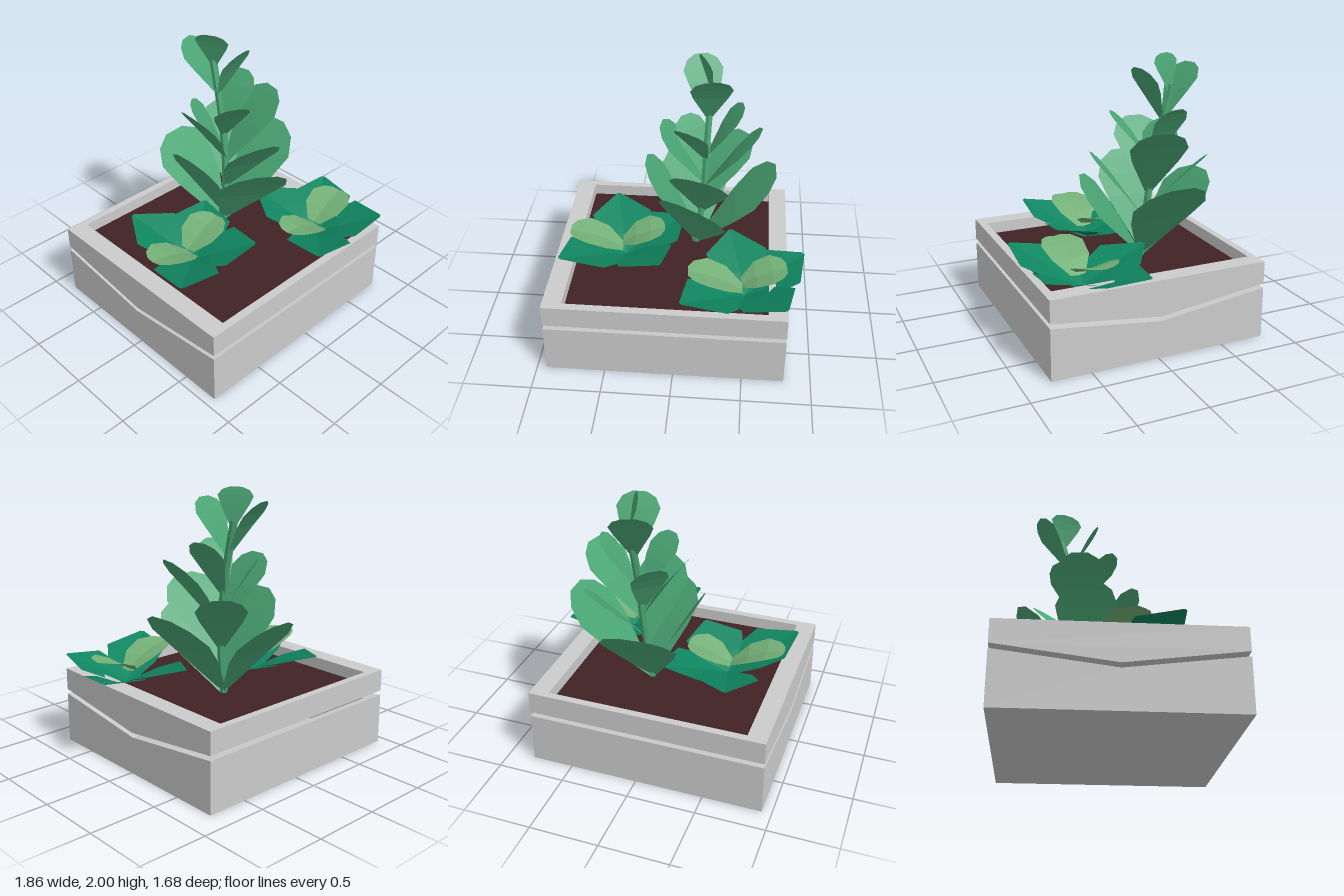
import * as THREE from 'three';

const mat = (color) => new THREE.MeshStandardMaterial({ color, flatShading: true, side: THREE.DoubleSide });
const GREY = mat(0xcccccc), SOIL = mat(0x402224);
const TALL = mat(0x4aa574), DARK = mat(0x0f8560), LIGHT = mat(0x74b078);

// Half-width along a leaf: [t, fraction of full half-width]
const ROUND = [[0, 0.1], [0.5, 0.82], [0.72, 1], [0.9, 0.76], [1, 0.32]];
const POINTED = [[0, 0.2], [0.3, 0.8], [0.6, 1], [1, 0.06]];
const CUP = [[0, 0.35], [0.3, 0.9], [0.65, 1], [0.9, 0.7], [1, 0.35]];

// Thin leaf from base to tip: arched, folded along its midline, rolled about its length
function leaf(name, base, tip, width, profile, material, arch, fold = 0, roll = 0) {
  const a = new THREE.Vector3(...base), b = new THREE.Vector3(...tip);
  const mid = a.clone().lerp(b, 0.5);
  mid.y += arch;
  const curve = new THREE.QuadraticBezierCurve3(a, mid, b);
  const dir = b.clone().sub(a).normalize();
  const side = new THREE.Vector3(0, 1, 0).cross(dir).normalize().applyAxisAngle(dir, roll);
  const normal = dir.clone().cross(side);
  const pos = [], index = [];
  profile.forEach(([t, w], i) => {
    const p = curve.getPoint(t), h = w * width / 2;
    for (const s of [-1, 0, 1]) {
      const q = p.clone().addScaledVector(side, s * h);
      if (s === 0) q.addScaledVector(normal, -fold * h);
      pos.push(q.x, q.y, q.z);
    }
    if (i === 0) return;
    for (const k of [0, 1]) {
      const c = (i - 1) * 3 + k, d = c + 3;
      index.push(c, c + 1, d + 1, c, d + 1, d);
    }
  });
  const g = new THREE.BufferGeometry();
  g.setAttribute('position', new THREE.Float32BufferAttribute(pos, 3));
  g.setIndex(index);
  const flat = g.toNonIndexed();
  flat.computeVertexNormals();
  const mesh = new THREE.Mesh(flat, material);
  mesh.name = name;
  return mesh;
}

// Slab with a (z, y) outline, running from x0 to x1
function slab(name, outline, x0, x1) {
  const shape = new THREE.Shape(outline.map(([z, y]) => new THREE.Vector2(z, y)));
  const g = new THREE.ExtrudeGeometry(shape, { depth: x1 - x0, bevelEnabled: false });
  g.rotateY(-Math.PI / 2).translate(x1, 0, 0);
  const mesh = new THREE.Mesh(g, GREY);
  mesh.name = name;
  return mesh;
}

function box(name, x0, x1, y0, y1, z0, z1, material) {
  const mesh = new THREE.Mesh(new THREE.BoxGeometry(x1 - x0, y1 - y0, z1 - z0), material);
  mesh.position.set((x0 + x1) / 2, (y0 + y1) / 2, (z0 + z1) / 2);
  mesh.name = name;
  return mesh;
}

// Planter: hollow lower box and upper rim, parted by a V-shaped gap
function planter() {
  const g = new THREE.Group();
  g.name = 'planter';
  const X0 = -0.93, X1 = 0.805, Z0 = -0.835, Z1 = 0.79, ZM = -0.02;
  const IX0 = -0.79, IX1 = 0.67, IZ0 = -0.78, IZ1 = 0.73;
  const vee = (low, high) => (z) => low + (high - low) * Math.abs(z - ZM) / 0.815;
  const tiers = [
    ['lowerBox', 0, vee(0.278, 0.38)],
    ['upperRim', 0.58, vee(0.312, 0.415)],
  ];
  for (const [name, flatY, v] of tiers) {
    const band = (za, zb, xa, xb, part) => {
      const cut = za < ZM && zb > ZM ? [zb, ZM, za] : [zb, za];
      g.add(slab(name + part, [[za, flatY], [zb, flatY], ...cut.map((z) => [z, v(z)])], xa, xb));
    };
    band(Z0, Z1, X0, IX0, 'RightWall');
    band(Z0, Z1, IX1, X1, 'LeftWall');
    band(Z0, IZ0, IX0, IX1, 'BackWall');
    band(IZ1, Z1, IX0, IX1, 'FrontWall');
  }
  g.add(box('floor', IX0, IX1, 0, 0.05, IZ0, IZ1, GREY));
  g.add(box('soil', IX0, IX1, 0.44, 0.49, IZ0, IZ1, SOIL));
  return g;
}

// Tall plant: leaning stem with leaves that shrink toward the top
function tallPlant() {
  const g = new THREE.Group();
  g.name = 'tallPlant';
  const path = new THREE.CatmullRomCurve3([[0.1, 0.47, -0.2], [0.15, 0.9, -0.22], [0.17, 1.35, -0.28], [0.19, 1.78, -0.39]]
    .map((p) => new THREE.Vector3(...p)));
  const stem = new THREE.Mesh(new THREE.TubeGeometry(path, 8, 0.028, 6), TALL);
  stem.name = 'stem';
  g.add(stem);
  // [position along the stem, tip, width, roll]
  const leaves = [
    [0.02, [0.08, 1.12, 0.28], 0.55, -0.35],
    [0.02, [0.69, 1.16, -0.22], 0.58, 0],
    [0.02, [0.06, 1.1, -0.71], 0.56, 0],
    [0.06, [-0.28, 1.22, -0.2], 0.46, 0],
    [0.24, [0.13, 1.31, 0.21], 0.45, -0.2],
    [0.28, [0.44, 1.3, -0.54], 0.36, 0],
    [0.4, [0.56, 1.52, -0.14], 0.42, 0],
    [0.42, [-0.17, 1.5, -0.26], 0.38, 0],
    [0.46, [0, 1.49, -0.43], 0.28, 0],
    [0.56, [0.02, 1.59, 0.02], 0.27, 0],
    [0.58, [0.43, 1.65, -0.31], 0.28, 0],
    [0.8, [0.21, 1.92, -0.11], 0.31, 0],
    [0.8, [0.1, 1.92, -0.58], 0.3, 0],
    [0.96, [0.13, 2, -0.35], 0.26, 0],
  ];
  for (const [t, tip, w, roll] of leaves) {
    g.add(leaf('tallLeaf', path.getPoint(t).toArray(), tip, w, ROUND, TALL, 0.05, 0, roll));
  }
  return g;
}

// Low rosette: four dark pointed leaves and two pale cupped ones
function rosette(x, z) {
  const g = new THREE.Group();
  g.name = 'lowPlant';
  const dark = [[-0.13, 0.69, -0.53], [-0.44, 0.72, 0.38], [0.29, 0.69, 0.36], [0.42, 0.66, -0.32]];
  for (const tip of dark) g.add(leaf('darkLeaf', [0, 0.5, 0], tip, 0.46, POINTED, DARK, 0.08, 0.15));
  g.add(leaf('paleLeaf', [-0.02, 0.58, 0.02], [-0.41, 0.74, 0.05], 0.32, CUP, LIGHT, 0.1, 0.15));
  g.add(leaf('paleLeaf', [-0.03, 0.6, -0.02], [0.29, 0.73, -0.05], 0.33, CUP, LIGHT, 0.08, 0.15));
  g.position.set(x, 0, z);
  return g;
}

export function createModel() {
  const model = new THREE.Group();
  model.name = 'plantedBox';
  model.add(planter(), tallPlant(), rosette(-0.42, 0.02), rosette(0.5, 0.44));
  return model;
}
